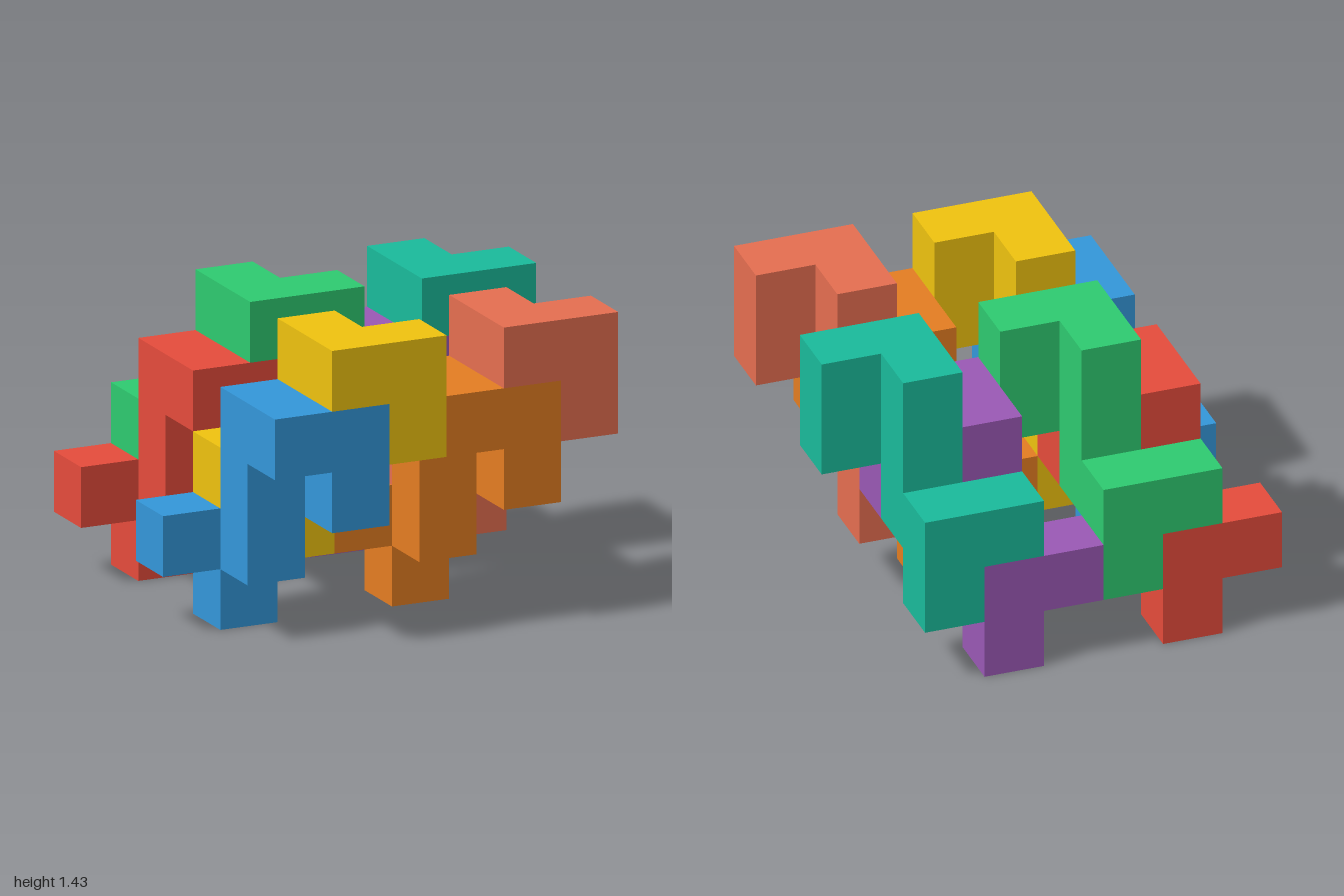
import * as THREE from 'three';
import { mergeGeometries } from 'three/addons/utils/BufferGeometryUtils.js';

const U = 2 / 7; // edge of one cube cell

// Cells [x, y, z] of the lower piece: an elbow, an upright bar and a second elbow
const LOWER = [
  [0, 1, 0], [1, 1, 0], [1, 0, 0],
  [1, 1, 1], [1, 2, 1], [1, 3, 1],
  [1, 3, 2], [2, 3, 2], [2, 2, 2],
];
// The upper piece is the same shape, nested one cell across and one up
const UPPER = LOWER.map(([x, y, z]) => [x + 1, y + 1, z]);

// Outward direction of each cube face and the turn that points a plane that way
const SIDES = [
  { n: [0, 0, 1], rx: 0, ry: 0 },
  { n: [0, 0, -1], rx: 0, ry: Math.PI },
  { n: [1, 0, 0], rx: 0, ry: Math.PI / 2 },
  { n: [-1, 0, 0], rx: 0, ry: -Math.PI / 2 },
  { n: [0, 1, 0], rx: -Math.PI / 2, ry: 0 },
  { n: [0, -1, 0], rx: Math.PI / 2, ry: 0 },
];

// Closed skin around a set of cells, leaving out the walls between them
function polycube(cells) {
  const filled = new Set(cells.map(String));
  const faces = [];
  for (const c of cells) {
    for (const { n, rx, ry } of SIDES) {
      if (filled.has(String(c.map((v, i) => v + n[i])))) continue;
      const face = new THREE.PlaneGeometry(U, U).rotateX(rx).rotateY(ry);
      const [x, y, z] = c.map((v, i) => (v + 0.5 + n[i] / 2) * U);
      faces.push(face.translate(x, y, z));
    }
  }
  return mergeGeometries(faces);
}

export function createModel() {
  const model = new THREE.Group();
  model.name = 'interlockingBlocks';
  const lower = polycube(LOWER);
  const upper = polycube(UPPER);

  // Four nested pairs, repeating every three cells across and deep
  const pairs = [
    { name: 'frontRight', x: 0, z: 3, colors: [0x3498db, 0xf1c40f] },
    { name: 'frontLeft', x: 3, z: 3, colors: [0xe67e22, 0xe76f51] },
    { name: 'backRight', x: 0, z: 0, colors: [0xe74c3c, 0x2ecc71] },
    { name: 'backLeft', x: 3, z: 0, colors: [0x9b59b6, 0x1abc9c] },
  ];
  for (const { name, x, z, colors } of pairs) {
    [lower, upper].forEach((geometry, i) => {
      const material = new THREE.MeshStandardMaterial({ color: colors[i] });
      const piece = new THREE.Mesh(geometry, material);
      piece.name = name + (i ? 'UpperPiece' : 'LowerPiece');
      piece.position.set((x - 3.5) * U, 0, (z - 3) * U);
      model.add(piece);
    });
  }
  return model;
}
